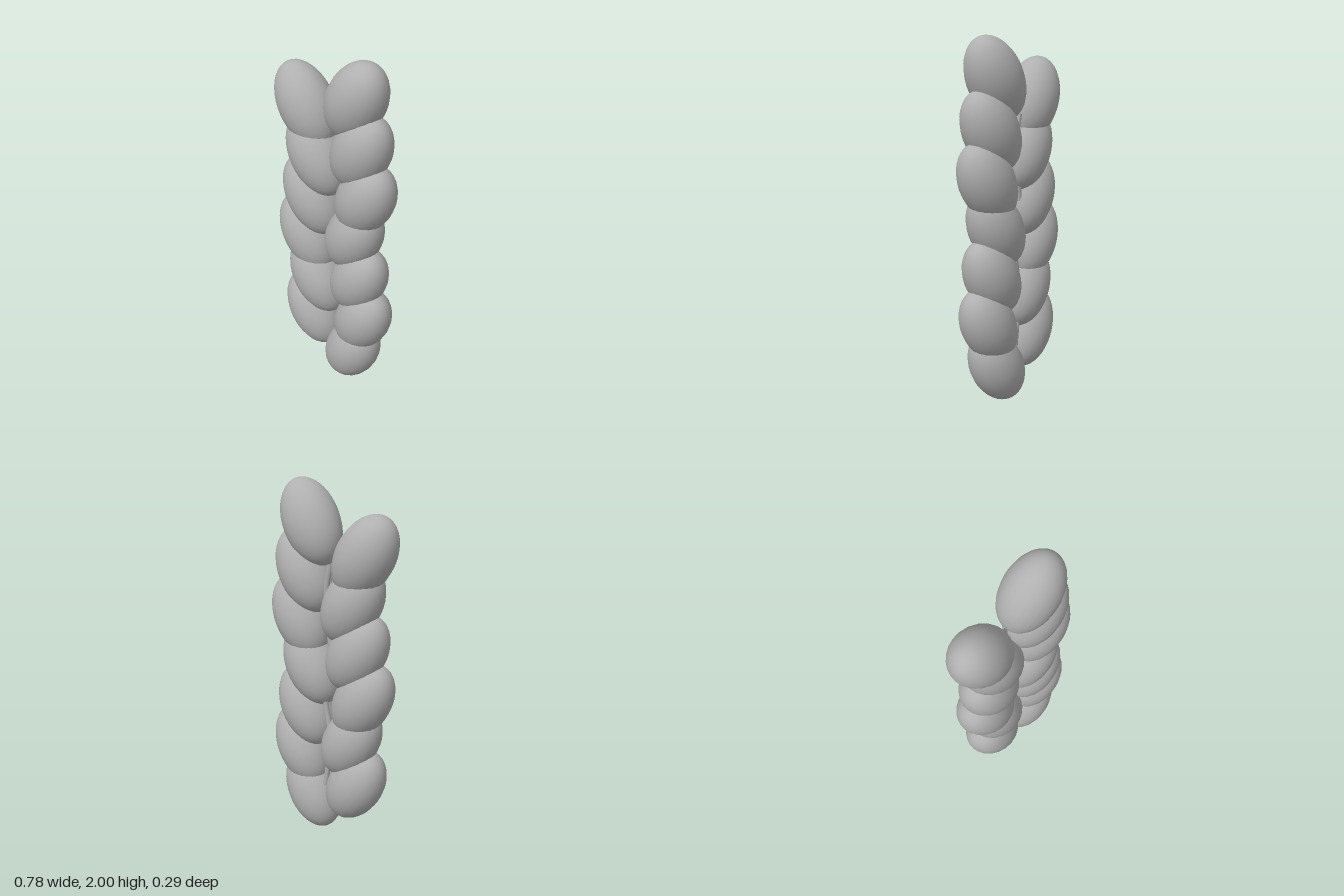
import * as THREE from 'three';

export function createModel() {
  const model = new THREE.Group();
  model.name = 'grainEar';
  const grey = new THREE.MeshStandardMaterial({ color: 0xb0b0b0 });
  grey.name = 'grey';

  // One plump kernel, long axis along y
  const kernelShape = new THREE.SphereGeometry(1, 24, 20);
  kernelShape.scale(0.155, 0.238, 0.143);

  // A column of overlapping kernels leaning outward; sideways offsets repeat every three
  function kernelColumn(name, side, count, topY, offsets) {
    const column = new THREE.Group();
    column.name = name;
    for (let i = 0; i < count; i++) {
      const kernel = new THREE.Mesh(kernelShape, grey);
      kernel.name = 'kernel';
      kernel.position.set(side * offsets[i % 3], topY - i * 0.26, 0);
      kernel.rotation.set(0.07, 0, -side * Math.PI / 6);
      column.add(kernel);
    }
    model.add(column);
  }
  kernelColumn('leftKernels', 1, 7, 1.78, [0.135, 0.175, 0.21]);
  kernelColumn('rightKernels', -1, 6, 1.65, [0.215, 0.14, 0.175]);

  // Thin wavy stem between the two columns
  const points = [];
  for (let i = 0; i <= 10; i++) {
    points.push(new THREE.Vector3(-0.01 + 0.02 * Math.cos(i * 1.5), 0.3 + i * 0.129, -0.04));
  }
  const stem = new THREE.Mesh(
    new THREE.TubeGeometry(new THREE.CatmullRomCurve3(points), 60, 0.015, 8), grey);
  stem.name = 'stem';
  model.add(stem);

  return model;
}
